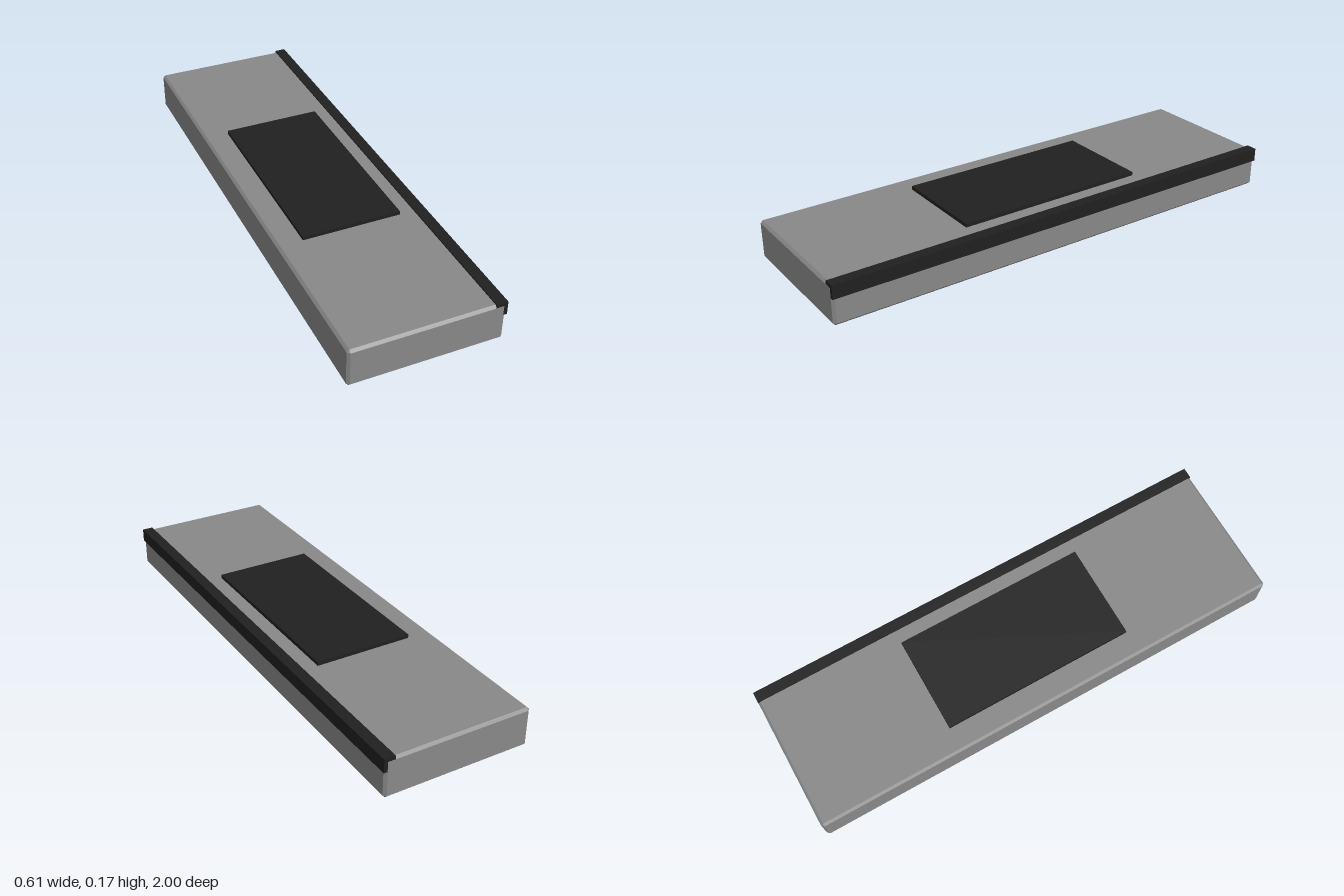
import * as THREE from 'three';
import { ConvexGeometry } from 'three/addons/geometries/ConvexGeometry.js';

const grey = new THREE.MeshStandardMaterial({ name: 'bodyGrey', color: 0x888888 });
const black = new THREE.MeshStandardMaterial({ name: 'trimBlack', color: 0x202020 });

// Box with all twelve edges cut at 45 degrees
function chamferedBox(w, h, d, c) {
  const half = [w / 2, h / 2, d / 2];
  const points = [];
  for (const sx of [-1, 1]) for (const sy of [-1, 1]) for (const sz of [-1, 1]) {
    for (let axis = 0; axis < 3; axis++) {
      const p = half.map((v, i) => (i === axis ? v : v - c));
      points.push(new THREE.Vector3(sx * p[0], sy * p[1], sz * p[2]));
    }
  }
  return new ConvexGeometry(points);
}

export function createModel() {
  const model = new THREE.Group();
  model.name = 'slab';

  const add = (name, geometry, material, x, y) => {
    const mesh = new THREE.Mesh(geometry, material);
    mesh.name = name;
    mesh.position.set(x, y, 0);
    model.add(mesh);
  };

  // Long chamfered body
  add('body', chamferedBox(0.6, 0.16, 2, 0.01), grey, -0.0025, 0.08);
  // Flat pad on the top face
  add('topPad', new THREE.BoxGeometry(0.4, 0.015, 0.8), black, -0.0025, 0.1675);
  // Strip along the upper left edge, ending just behind the end faces
  add('edgeStrip', new THREE.BoxGeometry(0.045, 0.055, 1.9994), black, 0.28, 0.1375);

  return model;
}
